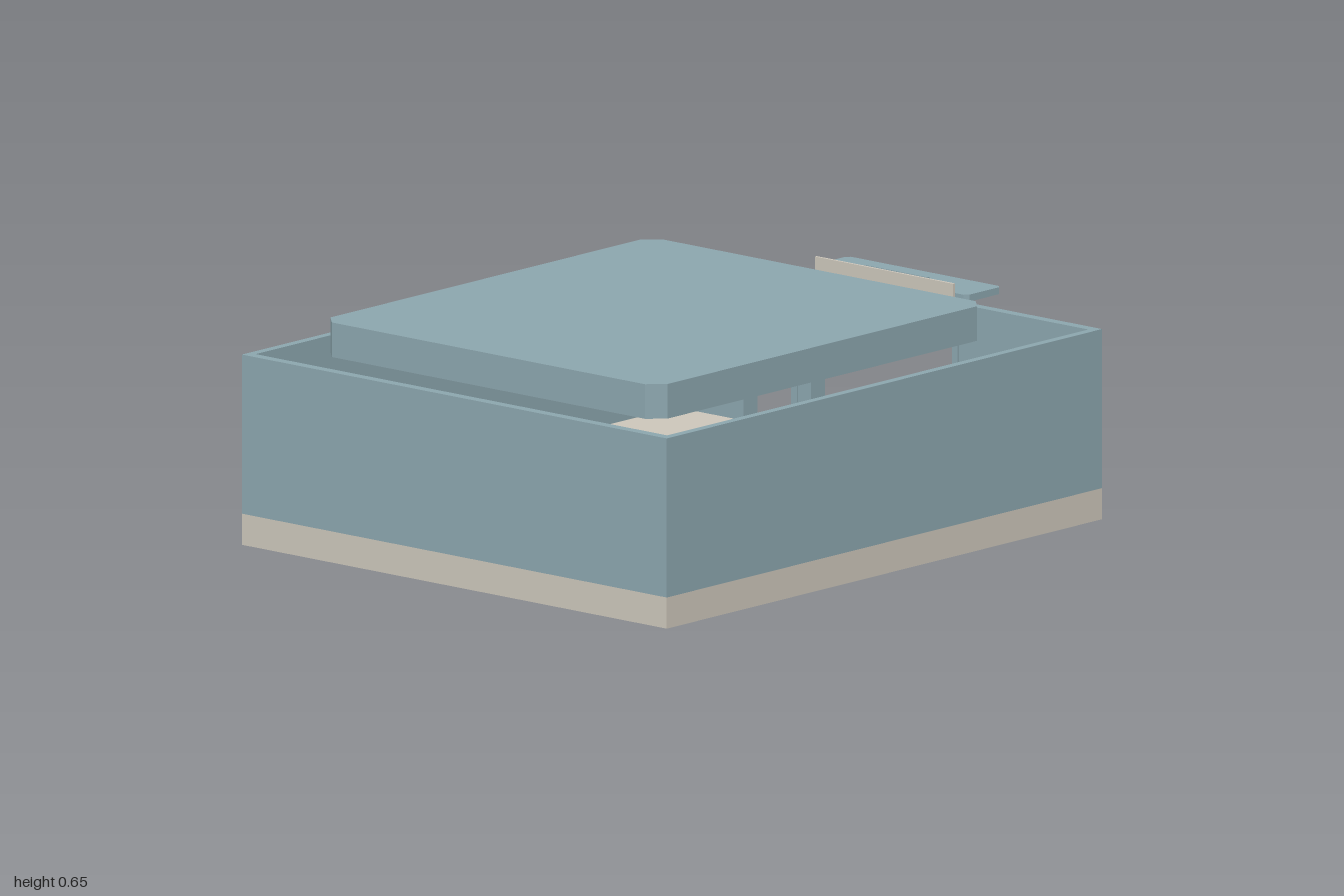
import * as THREE from 'three';

export function createModel() {
  const model = new THREE.Group();
  model.name = 'building';
  const blue = new THREE.MeshStandardMaterial({ color: 0x8ba5ad });
  blue.name = 'greyBlue';
  const beige = new THREE.MeshStandardMaterial({ color: 0xcbc5b9 });
  beige.name = 'warmBeige';

  const add = (name, geometry, material, parent = model) => {
    const mesh = new THREE.Mesh(geometry, material);
    mesh.name = name;
    parent.add(mesh);
    return mesh;
  };
  // Box given by its limits on each axis
  const box = (name, x0, x1, y0, y1, z0, z1, material, parent) => {
    const g = new THREE.BoxGeometry(x1 - x0, y1 - y0, z1 - z0);
    g.translate((x0 + x1) / 2, (y0 + y1) / 2, (z0 + z1) / 2);
    return add(name, g, material, parent);
  };
  const polygon = (points) => new THREE.Shape(points.map(([x, y]) => new THREE.Vector2(x, y)));
  const extrude = (points, depth) =>
    new THREE.ExtrudeGeometry(polygon(points), { depth, bevelEnabled: false });

  // Horizontal slab with cut corners
  const slab = (name, x0, x1, y0, y1, z0, z1, c, material, parent) => {
    const g = extrude([
      [x0 + c, z0], [x1 - c, z0], [x1, z0 + c], [x1, z1 - c],
      [x1 - c, z1], [x0 + c, z1], [x0, z1 - c], [x0, z0 + c],
    ], y1 - y0);
    g.rotateX(Math.PI / 2).translate(0, y1, 0);
    return add(name, g, material, parent);
  };

  // Base and floor
  box('base', -1, 0.85, 0, 0.09, -0.8, 0.8, beige);

  // Plain walls
  box('backWall', -1, 0.85, 0.09, 0.55, -0.8, -0.775, blue);
  box('frontWall', -1, 0.85, 0.09, 0.55, 0.775, 0.8, blue);
  box('rightWall', -1, -0.97, 0.09, 0.55, -0.775, 0.775, blue);

  // Wall with the two doorways, outlined in z and y
  const doors = [
    { name: 'largeDoor', z: 0, half: 0.265, top: 0.53, roof: 0.57, sign: 0.12, over: 0.29 },
    { name: 'smallDoor', z: -0.43, half: 0.09, top: 0.38, roof: 0.415, sign: 0.04, over: 0.12 },
  ];
  const outline = [[0.775, 0.09], [0.775, 0.55], [-0.775, 0.55], [-0.775, 0.09]];
  for (const d of [...doors].reverse()) {
    const a = d.z - d.half, b = d.z + d.half;
    outline.push([a, 0.09], [a, d.top], [b, d.top], [b, 0.09]);
  }
  const doorWall = extrude(outline, 0.03);
  doorWall.rotateY(-Math.PI / 2).translate(0.85, 0, 0);
  add('doorWall', doorWall, blue);

  // Raised roof slab
  slab('roof', -0.855, 0.55, 0.55, 0.65, -0.635, 0.635, 0.045, blue);

  // Door frames, canopies and ramps
  for (const d of doors) {
    const door = new THREE.Group();
    door.name = d.name;
    model.add(door);
    const a = d.z - d.half, b = d.z + d.half;
    const y = d.roof - 0.02;
    box('framePostBack', 0.815, 0.875, 0.09, y, a - 0.022, a, blue, door);
    box('framePostFront', 0.815, 0.875, 0.09, y, b, b + 0.022, blue, door);
    box('lintel', 0.85, 0.875, d.top - 0.005, y, a, b, beige, door);
    slab('canopy', 0.85, 1, y, d.roof, d.z - d.over, d.z + d.over, 0.012, blue, door);
    box('canopySign', 0.876, 0.884, d.roof, d.roof + 0.022, d.z - d.sign, d.z + d.sign, blue, door);
    const ramp = extrude([[0.85, 0.08], [1, 0.072], [1, 0.08], [0.85, 0.09]], 2 * d.half - 0.01);
    ramp.translate(0, 0, a + 0.005);
    add('ramp', ramp, beige, door);
  }

  // Thin upright panel above the large door
  box('parapetPanel', 0.826, 0.834, 0.55, 0.603, -0.26, 0.26, beige);

  return model;
}
